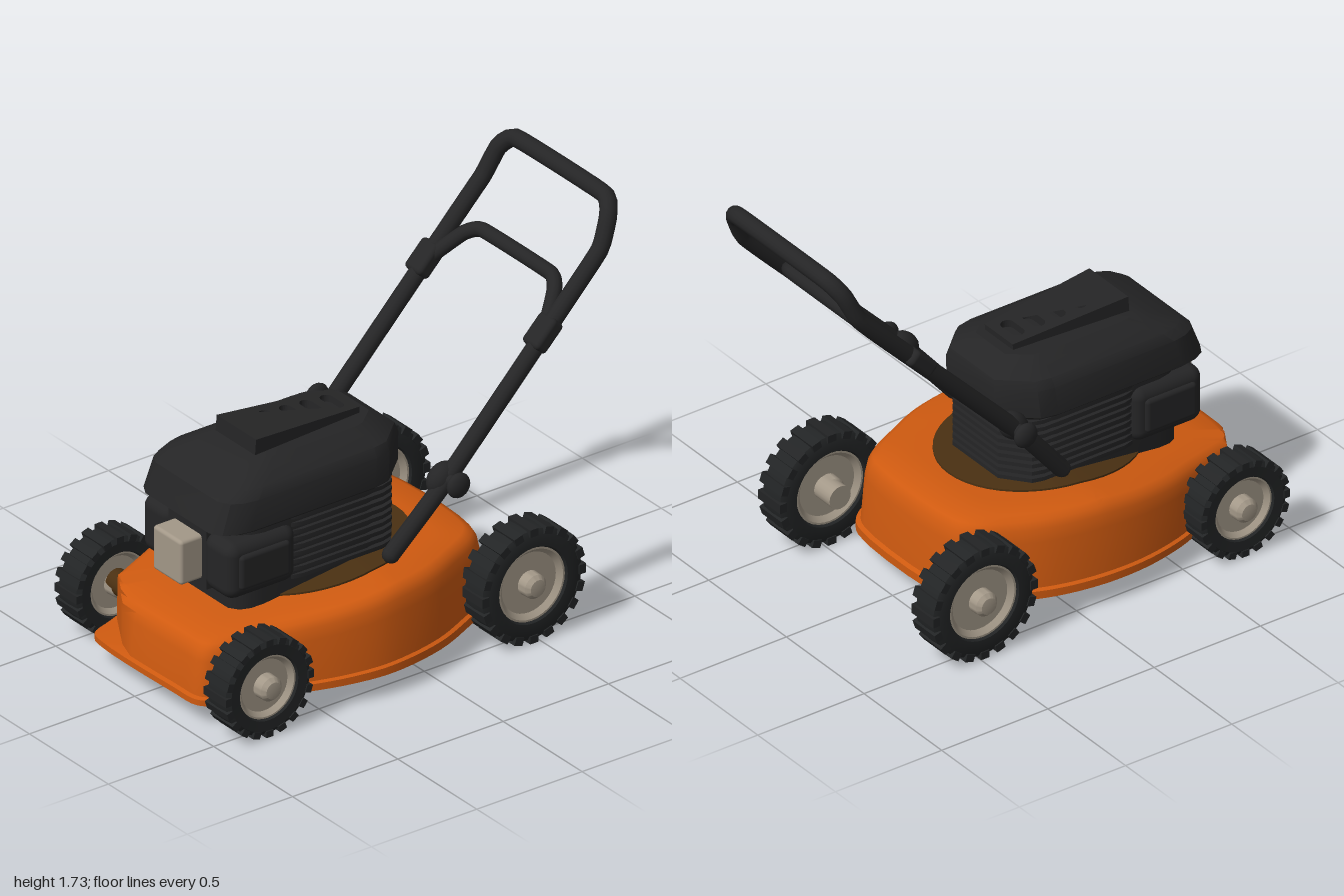
import * as THREE from 'three';
import { toCreasedNormals } from 'three/addons/utils/BufferGeometryUtils.js';
import { RoundedBoxGeometry } from 'three/addons/geometries/RoundedBoxGeometry.js';

const paint = (name, color) => {
  const m = new THREE.MeshStandardMaterial({ color });
  m.name = name;
  return m;
};

// Skin a stack of closed loops (bottom to top) and cap both ends
function loft(loops, crease = 0.6) {
  const n = loops[0].length, pos = loops.flat(2), idx = [];
  for (let i = 0; i < loops.length - 1; i++) {
    for (let j = 0; j < n; j++) {
      const a = i * n + j, b = i * n + (j + 1) % n;
      idx.push(a, a + n, b, b, a + n, b + n);
    }
  }
  [0, loops.length - 1].forEach((l, top) => {
    const c = pos.length / 3;
    for (let k = 0; k < 3; k++) pos.push(loops[l].reduce((s, p) => s + p[k], 0) / n);
    for (let j = 0; j < n; j++) {
      const a = l * n + j, b = l * n + (j + 1) % n;
      if (top) idx.push(c, b, a); else idx.push(c, a, b);
    }
  });
  const g = new THREE.BufferGeometry();
  g.setAttribute('position', new THREE.Float32BufferAttribute(pos, 3));
  g.setIndex(idx);
  return toCreasedNormals(g, crease);
}

// Height of the deck top, dropping toward the front
const deckTop = (z) => 0.435 - 0.115 * Math.max(0, z - 0.15);

export function createModel() {
  const model = new THREE.Group();
  model.name = 'lawnMower';
  const orange = paint('orange', 0xcf5a10), black = paint('black', 0x252526);
  const rubber = paint('rubber', 0x222425), beige = paint('beige', 0xa39888);
  const brown = paint('darkBrown', 0x4a3012);

  const add = (name, geo, mat, x = 0, y = 0, z = 0, parent = model) => {
    const m = new THREE.Mesh(geo, mat);
    m.name = name;
    m.position.set(x, y, z);
    parent.add(m);
    return m;
  };

  // Deck: one outline, shrunk and raised level by level
  const outline = new THREE.CatmullRomCurve3([
    [-0.25, -0.44], [0.3, -0.44], [0.38, -0.39], [0.46, -0.24], [0.54, -0.05], [0.58, 0.2],
    [0.56, 0.38], [0.5, 0.58], [0.43, 0.75], [0.385, 0.91], [0.34, 0.96], [0.2, 0.97],
    [-0.25, 0.97], [-0.32, 0.95], [-0.36, 0.85], [-0.42, 0.68], [-0.49, 0.5], [-0.53, 0.3],
    [-0.53, 0.1], [-0.49, -0.1], [-0.42, -0.26], [-0.34, -0.39],
  ].map(([x, z]) => new THREE.Vector3(x, 0, z)), true).getPoints(110).slice(0, -1);
  const deckLevels = [
    [0, 1], [0.1, 1], [0.12, 0.975], [0.7, 0.955], [0.86, 0.94], [0.95, 0.915],
    [1, 0.87], [1, 0.7], [1, 0.5], [1, 0.25],
  ];
  add('deck', loft(deckLevels.map(([f, s], level) => outline.map((p) => {
    const x = 0.02 + (p.x - 0.02) * s;
    let z = 0.26 + (p.z - 0.26) * s;
    // front corner cut back beside the wheel
    if (level > 1 && x < -0.1) z = Math.min(z, 0.93 + (x + 0.17) * 0.6);
    return [x, 0.1 + f * (deckTop(z) - 0.1), z];
  }))), orange);

  // Dark seat around the engine
  add('engineSeat', loft([1, 1, 0.7, 0.4, 0.1].map((s, i) => Array.from({ length: 48 }, (_, k) => {
    const t = k / 48 * Math.PI * 2;
    const z = 0.2 + 0.42 * s * Math.sin(t);
    return [0.025 + 0.355 * s * Math.cos(t), deckTop(z) + (i ? 0.008 : 0), z];
  }))), brown);

  // Engine sections share an outline with chamfered rear and rounded front corners
  const plan = [
    [-0.55, 0], [0.55, 0], [0.95, 0.14], [1, 0.22], [1, 0.85], [0.96, 0.92], [0.87, 0.97], [0.7, 1],
    [-0.7, 1], [-0.87, 0.97], [-0.96, 0.92], [-1, 0.85], [-1, 0.22], [-0.95, 0.14],
  ];
  const section = ([y, w, front, back]) =>
    plan.map(([u, v]) => [0.015 + u * w, y, back + v * (front - back)]);
  add('engineBlock', loft([[0.36, 0.25, 0.7, -0.07], [0.74, 0.25, 0.7, -0.07]].map(section)), black);
  for (let i = 0; i < 9; i++) {
    const y = 0.45 + i * 0.032;
    add('coolingFin', loft([[y, 0.265, 0.5, -0.1], [y + 0.017, 0.265, 0.5, -0.1]].map(section)), black);
  }
  add('engineShroud', loft([
    [0.725, 0.27, 0.78, -0.11], [0.74, 0.287, 0.81, -0.12], [0.86, 0.28, 0.765, -0.125],
    [0.895, 0.26, 0.72, -0.115], [0.93, 0.205, 0.61, -0.07], [0.955, 0.17, 0.55, -0.03],
  ].map(section), 0.5), black);

  // Vented cap on top of the shroud
  const cap = new THREE.Shape();
  [[-0.09, 0], [0.09, 0], [0.125, 0.52], [-0.125, 0.52]].forEach(([x, z], i) =>
    i ? cap.lineTo(x, z) : cap.moveTo(x, z));
  cap.closePath();
  const hole = (x, z, half, r) => {
    const h = new THREE.Path();
    h.absarc(x + half, z, r, -Math.PI / 2, Math.PI / 2, false);
    h.absarc(x - half, z, r, Math.PI / 2, Math.PI * 1.5, false);
    h.closePath();
    cap.holes.push(h);
  };
  for (let i = 0; i < 4; i++) hole(0, 0.065 + i * 0.095, 0.033 + i * 0.003, 0.027);
  for (const x of [-0.05, 0.05]) hole(x, 0.45, 0.001, 0.024);
  const capGeo = new THREE.ExtrudeGeometry(cap, { depth: 0.07, bevelEnabled: false, curveSegments: 6 });
  capGeo.rotateX(Math.PI / 2);
  add('ventCap', capGeo, black, 0.015, 0.98, 0.01).rotation.x = -0.077;

  // Front pods and the light plate box between them
  for (const side of [-1, 1]) {
    const x = 0.015 + side * 0.195;
    add('frontPod', new RoundedBoxGeometry(0.18, 0.24, 0.33, 3, 0.05), black, x, 0.575, 0.61);
    add('podPanel', new RoundedBoxGeometry(0.04, 0.15, 0.24, 2, 0.018), black, x + side * 0.085, 0.575, 0.61);
  }
  add('frontBlock', new THREE.BoxGeometry(0.24, 0.25, 0.1), black, 0.015, 0.57, 0.71);
  add('muffler', new RoundedBoxGeometry(0.18, 0.19, 0.12, 2, 0.015), beige, 0.015, 0.573, 0.8);

  // Wheels: tyre, raised lugs, dished hub
  const lathe = (pts) => {
    const g = new THREE.LatheGeometry(pts.map(([r, y]) => new THREE.Vector2(r, y)), 36);
    return toCreasedNormals(g.rotateZ(-Math.PI / 2), 0.6);
  };
  const wheel = (name, r, x, y, z) => {
    const g = new THREE.Group();
    g.name = name;
    g.position.set(x, y, z);
    model.add(g);
    add('tyre', lathe([
      [0.62 * r, -0.05], [0.66 * r, -0.065], [0.86 * r, -0.067], [0.95 * r, -0.055], [0.965 * r, 0],
      [0.95 * r, 0.055], [0.86 * r, 0.067], [0.66 * r, 0.065], [0.62 * r, 0.05], [0.62 * r, -0.05],
    ]), rubber, 0, 0, 0, g);
    add('hub', lathe([
      [0, -0.1], [0.035, -0.095], [0.05, -0.078], [0.052, -0.035], [0.52 * r, -0.035], [0.6 * r, -0.055],
      [0.65 * r, -0.055], [0.65 * r, 0.055], [0.6 * r, 0.055], [0.52 * r, 0.035], [0.052, 0.035],
      [0.05, 0.078], [0.035, 0.095], [0, 0.1],
    ]), beige, 0, 0, 0, g);
    const lug = new THREE.BoxGeometry(0.142, 0.13 * r, 0.16 * r);
    for (let i = 0; i < 20; i++) {
      const t = i / 20 * Math.PI * 2, d = 0.93 * r;
      add('lug', lug, rubber, 0, Math.cos(t) * d, Math.sin(t) * d, g).rotation.x = t;
    }
  };
  const rod = (name, mat, r, len, x, y, z) => {
    const g = new THREE.CylinderGeometry(r, r, len, 20).rotateZ(Math.PI / 2);
    add(name, g, mat, x, y, z);
  };
  for (const side of [-1, 1]) {
    const frontZ = side < 0 ? 0.745 : 0.785;
    wheel('frontWheel', 0.21, side * 0.5, 0.215, frontZ);
    wheel('rearWheel', 0.247, side * 0.5, 0.25, side < 0 ? -0.48 : -0.47);
    rod('frontAxle', brown, 0.05, 0.16, side * 0.38, 0.225, frontZ);
    rod('rearAxle', beige, 0.05, 0.1, side * 0.415, 0.25, -0.48);
  }

  // Handle tubes
  const tube = (name, pts, r) => {
    const v = pts.map((p) => new THREE.Vector3(...p));
    const curve = new THREE.CatmullRomCurve3(v, false, 'catmullrom', 0.2);
    add(name, new THREE.TubeGeometry(curve, 120, r, 12), black);
    for (const e of [v[0], v[v.length - 1]])
      add(name + 'End', new THREE.SphereGeometry(r, 12, 8), black, e.x, e.y, e.z);
  };
  tube('handle', [
    [-0.28, 0.5, 0.09], [-0.29, 0.76, -0.13], [-0.29, 1.4, -0.75], [-0.285, 1.53, -0.87],
    [-0.265, 1.64, -0.925], [-0.195, 1.695, -0.96], [0.36, 1.695, -0.96], [0.43, 1.64, -0.925],
    [0.455, 1.53, -0.87], [0.455, 1.4, -0.75], [0.455, 0.76, -0.13], [0.41, 0.5, 0.09],
  ], 0.036);
  tube('controlBar', [
    [-0.3, 1.23, -0.58], [-0.25, 1.3, -0.65], [-0.2, 1.365, -0.715], [-0.13, 1.395, -0.75],
    [0.3, 1.395, -0.75], [0.37, 1.365, -0.715], [0.42, 1.3, -0.65], [0.45, 1.23, -0.58],
  ], 0.03);

  // Bar brackets, fold joints and clamp knobs
  for (const [x, side] of [[-0.29, -1], [0.455, 1]]) {
    const bracket = new RoundedBoxGeometry(0.1, 0.14, 0.07, 2, 0.02);
    add('barBracket', bracket, black, x - 0.005, 1.25, -0.6).rotation.x = -0.78;
    const joint = new THREE.SphereGeometry(0.055, 16, 12).scale(0.9, 1.3, 1);
    add('foldJoint', joint, black, x - side * 0.02, 0.77, -0.13).rotation.x = -0.78;
    rod('knobShaft', black, 0.025, 0.08, x + side * 0.04, 0.775, -0.14);
    const knob = new THREE.SphereGeometry(0.052, 16, 12).scale(0.55, 1, 1);
    add('knob', knob, black, x + side * 0.075, 0.775, -0.14);
  }
  return model;
}
